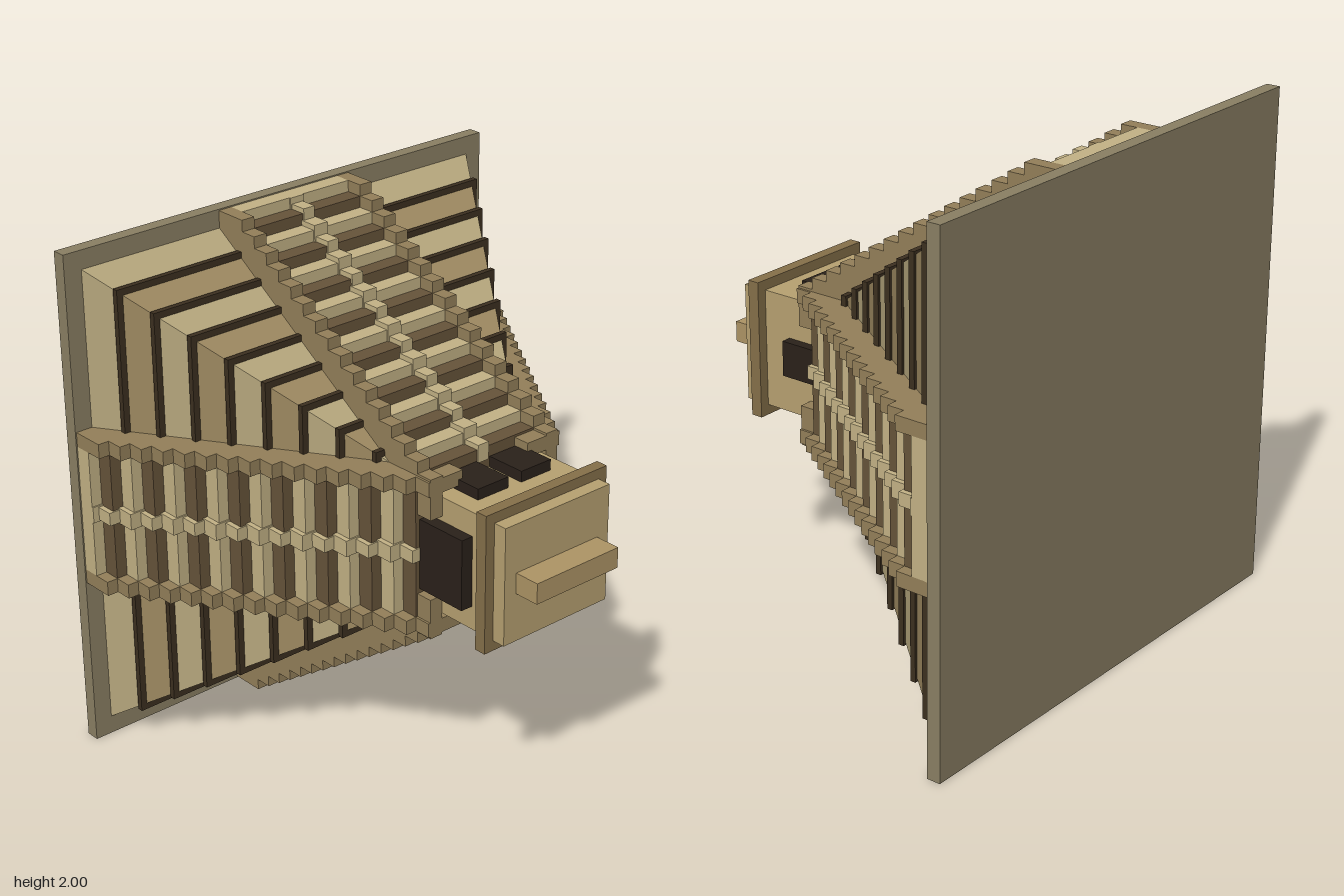
import * as THREE from 'three';

const mat = (color) => new THREE.MeshStandardMaterial({ color, flatShading: true, roughness: 0.9 });

export function createModel() {
  const root = new THREE.Group();
  root.name = 'steppedPyramid';
  // The pyramid's axis runs along z, through the middle of the base plate
  const body = new THREE.Group();
  body.name = 'pyramid';
  body.position.y = 1;
  root.add(body);

  const stone = mat(0x8b8064), light = mat(0xb5a67c), tan = mat(0x9c8860);
  const dark = mat(0x3d3020), door = mat(0x2a211a), rail = mat(0x94805a);
  const shade = mat(0x67543a), cream = mat(0xc4b386);
  const wall = mat(0xb8a272), trim = mat(0x86704a), crest = mat(0xae9566);

  // Box given by its low and high corners
  function box(parent, name, material, x0, x1, y0, y1, z0, z1) {
    const m = new THREE.Mesh(new THREE.BoxGeometry(x1 - x0, y1 - y0, z1 - z0), material);
    m.position.set((x0 + x1) / 2, (y0 + y1) / 2, (z0 + z1) / 2);
    m.name = name;
    parent.add(m);
    return m;
  }

  // Base plate
  box(body, 'basePlate', stone, -1, 1, -1, 1, -0.82, -0.765);

  // Sloping tiers, parted by thin dark ledges
  const slope = (z) => 0.93 - 0.655 * (z + 0.77);
  const ledges = Array.from({ length: 8 }, (_, i) => -0.65 + i * 0.113);
  const cuts = [-0.77, ...ledges, 0.335];
  for (let i = 0; i < cuts.length - 1; i++) {
    const z0 = cuts[i], z1 = cuts[i + 1];
    const g = new THREE.CylinderGeometry(slope(z1) * Math.SQRT2, slope(z0) * Math.SQRT2, z1 - z0, 4);
    g.rotateY(Math.PI / 4).rotateX(Math.PI / 2);
    const tier = new THREE.Mesh(g, i % 2 ? tan : light);
    tier.position.z = (z0 + z1) / 2;
    tier.name = 'tier';
    body.add(tier);
  }
  for (const z of ledges) {
    const r = slope(z) + 0.018;
    box(body, 'tierLedge', dark, -r, r, -r, r, z - 0.011, z + 0.011);
  }

  // One stairway per side, with stepped balustrades and a middle rail
  const pitch = 0.0682, rise = 0.045, depth = 0.16;
  for (let side = 0; side < 4; side++) {
    const stair = new THREE.Group();
    stair.name = 'stairway';
    stair.rotation.z = side * Math.PI / 2;
    body.add(stair);
    for (let k = 0; k < 17; k++) {
      const z0 = -0.765 + k * pitch, z1 = z0 + pitch;
      const top = Math.min(0.995, 1.04 - k * rise);
      for (const s of [-1, 1]) {
        box(stair, 'balustradeStep', rail, s * 0.2825 - 0.0285, s * 0.2825 + 0.0285, top - depth, top, z0, z1);
      }
      if (k === 16) continue;
      const r = 0.995 - k * rise;
      box(stair, 'tread', k % 2 ? shade : cream, -0.255, 0.255, r - depth, r, z0, z1);
      const w = k % 2 ? 0.026 : 0.032;
      box(stair, 'middleRailStep', cream, -w, w, r - 0.05, Math.min(0.995, r + 0.02), z0, z1 + 0.006);
    }
  }

  // Shrine at the summit
  const shrine = new THREE.Group();
  shrine.name = 'shrine';
  body.add(shrine);
  box(shrine, 'shrineWalls', wall, -0.255, 0.255, -0.232, 0.235, 0.32, 0.715);
  box(shrine, 'cornice', trim, -0.295, 0.295, -0.273, 0.275, 0.612, 0.66);
  box(shrine, 'roofCrest', crest, -0.2, 0.2, -0.04, 0.042, 0.715, 0.82);

  // Doorways: a pair above and below, one on each flank
  for (const s of [-1, 1]) {
    for (const x of [-0.105, 0.105]) {
      box(shrine, 'doorway', door, x - 0.073, x + 0.073, s * 0.25 - 0.028, s * 0.25 + 0.028, 0.33, 0.495);
    }
  }
  box(shrine, 'leftDoorway', door, 0.24, 0.295, -0.07, 0.07, 0.33, 0.495);
  box(shrine, 'rightDoorway', door, -0.305, -0.24, -0.14, 0.14, 0.33, 0.55);

  return root;
}
